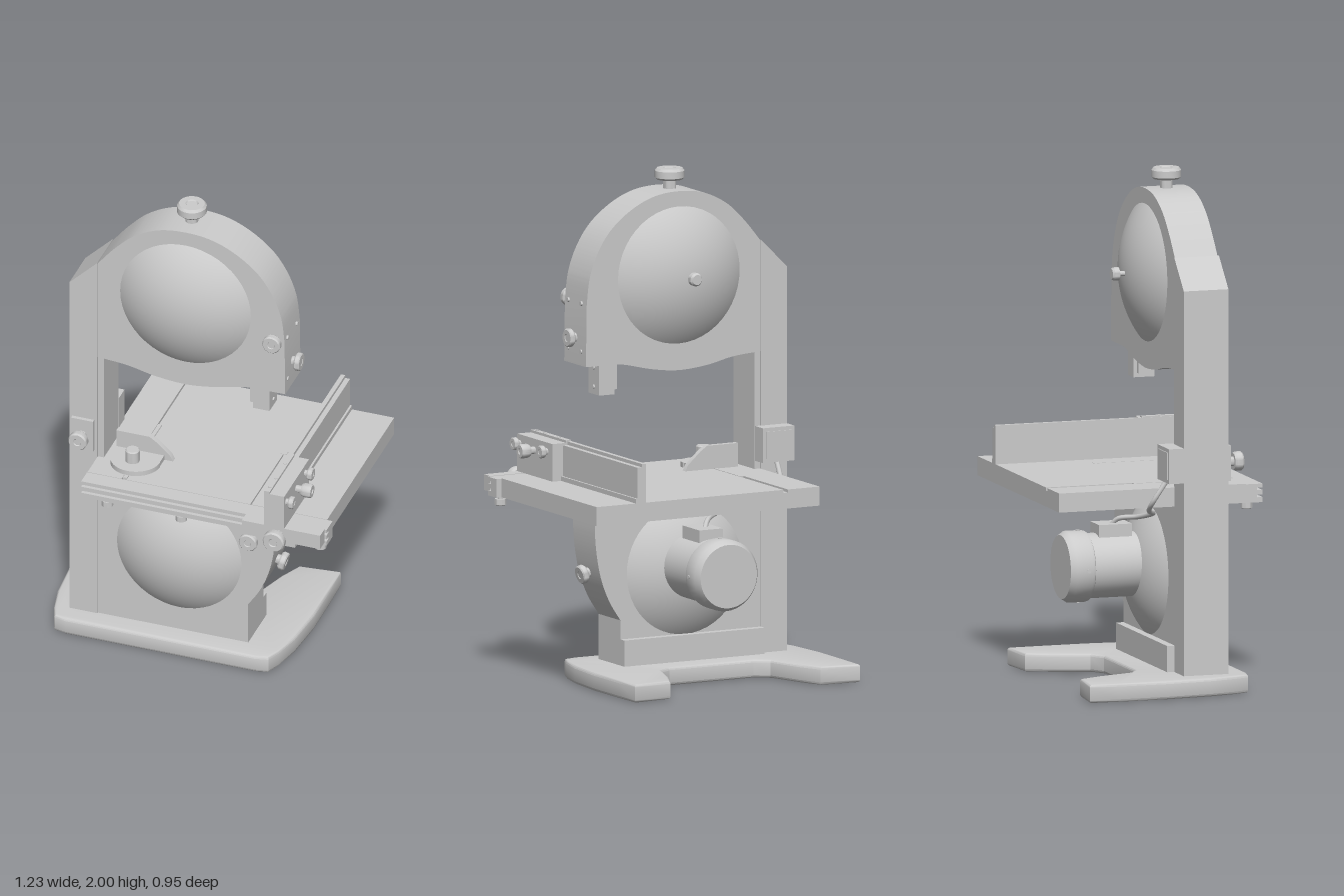
import * as THREE from 'three';
import { toCreasedNormals } from 'three/addons/utils/BufferGeometryUtils.js';

const V = (x, y, z) => new THREE.Vector3(x, y, z);
const material = new THREE.MeshStandardMaterial({ color: 0xcccccc });

export function createModel() {
  const model = new THREE.Group();

  const add = (name, geometry, x = 0, y = 0, z = 0) => {
    const mesh = new THREE.Mesh(geometry, material);
    mesh.name = name;
    mesh.position.set(x, y, z);
    model.add(mesh);
    return mesh;
  };

  // box given by its limits on each axis
  const box = (name, x0, x1, y0, y1, z0, z1) =>
    add(name, new THREE.BoxGeometry(x1 - x0, y1 - y0, z1 - z0), (x0 + x1) / 2, (y0 + y1) / 2, (z0 + z1) / 2);

  // outline in x-y pushed from z0 to z1
  const slab = (name, shape, z0, z1) => {
    const g = new THREE.ExtrudeGeometry(shape, { depth: z1 - z0, bevelEnabled: false, curveSegments: 14 });
    return add(name, toCreasedNormals(g, 0.5), 0, 0, z0);
  };

  // turned part: [radius, distance] profile along a direction
  const turned = (name, profile, at, dir, sides = 24) => {
    const g = new THREE.LatheGeometry(profile.map(p => new THREE.Vector2(...p)), sides);
    const mesh = add(name, toCreasedNormals(g, 0.6), ...at);
    mesh.quaternion.setFromUnitVectors(V(0, 1, 0), V(...dir).normalize());
    return mesh;
  };

  const knob = (name, at, dir, r, len) => turned(name, [
    [0, 0], [r * 0.5, 0], [r * 0.5, len * 0.4], [r * 0.85, len * 0.4], [r, len * 0.55],
    [r, len * 0.9], [r * 0.88, len], [r * 0.42, len], [r * 0.36, len * 0.94], [0, len * 0.94],
  ], at, dir);

  const bolt = (name, at, dir, r = 0.01, len = 0.006) =>
    turned(name, [[0, -0.004], [r, -0.004], [r, len], [0, len]], at, dir, 12);

  // shallow spherical cover
  const dome = (name, x, y, z, side, r, h) => {
    const R = (r * r + h * h) / (2 * h);
    const g = new THREE.SphereGeometry(R, 48, 12, 0, Math.PI * 2, 0, Math.asin(r / R));
    g.translate(0, h - R, 0).rotateX(side * Math.PI / 2);
    return add(name, g, x, y, z);
  };

  // base plate with two splayed rear feet, mirrored about x = -0.11
  const half = [[-0.5, 0.25], [-0.545, 0.24], [-0.565, 0.19], [-0.59, 0.08], [-0.605, -0.1], [-0.603, -0.3],
    [-0.6, -0.41], [-0.45, -0.395], [-0.41, -0.31], [-0.36, -0.16], [-0.3, -0.12]];
  const outline = [...half, ...half.map(([x, z]) => [-0.22 - x, z]).reverse()]
    .map(([x, z]) => new THREE.Vector2(x, -z));
  const baseGeo = new THREE.ExtrudeGeometry(new THREE.Shape(outline),
    { depth: 0.05, bevelThickness: 0.011, bevelSize: 0.01, bevelSegments: 3 });
  baseGeo.rotateX(-Math.PI / 2);
  add('base', toCreasedNormals(baseGeo, 0.6), 0, 0.011, 0);

  // column with sloped top
  const column = new THREE.Shape([[-0.515, 0.07], [-0.4, 0.07], [-0.4, 1.7], [-0.515, 1.585]].map(p => new THREE.Vector2(...p)));
  slab('column', column, -0.003, 0.18);
  box('columnInnerStrip', -0.402, -0.375, 0.7, 1.27, 0.005, 0.172);

  // upper wheel housing
  const upper = new THREE.Shape();
  upper.moveTo(-0.4, 1.26);
  upper.splineThru([[-0.28, 1.25], [-0.16, 1.225], [-0.037, 1.215], [0.08, 1.228], [0.2, 1.255], [0.25, 1.26]].map(p => new THREE.Vector2(...p)));
  upper.lineTo(0.375, 1.26);
  upper.lineTo(0.372, 1.5);
  upper.splineThru([[0.358, 1.61], [0.32, 1.71], [0.26, 1.795], [0.17, 1.865], [0.07, 1.908], [-0.04, 1.92],
    [-0.15, 1.905], [-0.25, 1.855], [-0.33, 1.78], [-0.4, 1.695]].map(p => new THREE.Vector2(...p)));
  upper.closePath();
  slab('upperHousing', upper, 0, 0.175);
  dome('upperFrontCover', -0.037, 1.59, 0.175, 1, 0.27, 0.09);
  dome('upperBackCover', -0.037, 1.59, 0, -1, 0.27, 0.087);

  // lower wheel housing
  const lower = new THREE.Shape();
  lower.moveTo(-0.4, 0.07);
  lower.lineTo(0.222, 0.07);
  lower.lineTo(0.222, 0.25);
  lower.splineThru([[0.27, 0.325], [0.305, 0.41], [0.325, 0.5], [0.335, 0.6], [0.335, 0.725]].map(p => new THREE.Vector2(...p)));
  lower.lineTo(-0.4, 0.725);
  lower.closePath();
  slab('lowerHousing', lower, 0, 0.175);
  box('rearPlinth', -0.4, 0.222, 0.07, 0.175, -0.032, 0.001);
  dome('lowerFrontCover', -0.063, 0.43, 0.175, 1, 0.257, 0.088);
  dome('lowerBackCover', -0.063, 0.43, 0, -1, 0.257, 0.085);

  // motor, terminal box and cable
  turned('motor', [[0, 0], [0.127, 0], [0.127, 0.21], [0.137, 0.215], [0.14, 0.225], [0.14, 0.29], [0.125, 0.313], [0, 0.313]],
    [-0.063, 0.452, -0.042], [0, 0, -1], 40);
  for (let i = 0; i < 4; i++) {
    const a = i * Math.PI / 2;
    bolt('motorScrew', [-0.063 + 0.14 * Math.cos(a), 0.452 + 0.14 * Math.sin(a), -0.285], [Math.cos(a), Math.sin(a), 0], 0.008, 0.003);
  }
  box('terminalBox', -0.115, -0.01, 0.56, 0.617, -0.215, -0.08);
  const cable = new THREE.CatmullRomCurve3([V(-0.07, 0.61, -0.15), V(-0.09, 0.635, -0.13), V(-0.16, 0.65, -0.07),
    V(-0.28, 0.68, -0.05), V(-0.38, 0.71, -0.1), V(-0.43, 0.75, -0.1), V(-0.445, 0.84, -0.045)]);
  add('cable', new THREE.TubeGeometry(cable, 40, 0.01, 8));

  // switch on the column
  box('switchBox', -0.515, -0.375, 0.83, 0.967, -0.063, 0);
  box('switchBoxLid', -0.5, -0.39, 0.845, 0.952, -0.067, -0.06);
  box('switchPlate', -0.503, -0.412, 0.828, 0.968, 0.175, 0.195);
  knob('switchKnob', [-0.457, 0.898, 0.194], [0, 0, 1], 0.038, 0.06);

  // table split around the mitre groove, with blade slot pieces
  box('tableCore', -0.4, 0.59, 0.722, 0.785, -0.475, 0.29);
  box('tableTopLeft', -0.4, -0.259, 0.785, 0.797, -0.475, 0.29);
  box('tableTopMiddle', -0.239, 0.272, 0.785, 0.797, -0.475, 0.29);
  box('tableTopRight', 0.277, 0.59, 0.785, 0.797, -0.475, 0.29);
  box('bladeSlotRear', 0.271, 0.278, 0.785, 0.797, -0.475, -0.1);
  box('bladeSlotStop', 0.262, 0.286, 0.79, 0.7985, -0.108, -0.085);

  // grooved front rail
  box('railBack', -0.402, 0.612, 0.722, 0.795, 0.29, 0.335);
  for (const [y0, y1] of [[0.722, 0.742], [0.752, 0.77], [0.78, 0.795]])
    box('railRib', -0.402, 0.612, y0, y1, 0.33, 0.358);
  for (const x of [-0.305, 0, 0.575]) {
    turned('railBolt', [[0, 0], [0.012, 0], [0.012, 0.012], [0.023, 0.012], [0.023, 0.035], [0.018, 0.038], [0, 0.038]], [x, 0.723, 0.325], [0, -1, 0]);
  }

  // rip fence with carriage
  box('fence', 0.37, 0.408, 0.797, 0.937, -0.475, 0.29);
  box('fenceTopLip', 0.37, 0.388, 0.935, 0.95, -0.475, 0.29);
  box('fenceFoot', 0.405, 0.416, 0.797, 0.815, -0.475, 0.13);
  box('fenceHead', 0.372, 0.455, 0.797, 0.945, 0.125, 0.408);
  box('fenceHeadLip', 0.372, 0.395, 0.94, 0.955, 0.125, 0.408);
  box('carriageBar', 0.28, 0.603, 0.735, 0.797, 0.357, 0.408);
  box('carriageFoot', 0.37, 0.5, 0.718, 0.74, 0.3, 0.408);
  knob('fenceKnob', [0.453, 0.91, 0.17], [1, 0, 0], 0.025, 0.036);
  knob('fenceKnob', [0.453, 0.9, 0.27], [1, 0, 0], 0.028, 0.068);
  knob('fenceKnob', [0.453, 0.91, 0.386], [1, 0, 0], 0.025, 0.036);
  knob('carriageKnob', [0.43, 0.763, 0.405], [0, 0, 1], 0.044, 0.065);
  for (const z of [0.2, 0.31, 0.375]) bolt('fenceBolt', [0.384, 0.955, z], [0, 1, 0], 0.007, 0.003);

  // mitre gauge
  box('mitreBar', -0.257, -0.241, 0.785, 0.798, -0.12, 0.28);
  add('mitreDisc', new THREE.CylinderGeometry(0.1, 0.1, 0.02, 32, 1, false, -Math.PI / 2, Math.PI), -0.247, 0.807, 0.16);
  box('mitreDiscRear', -0.345, -0.149, 0.797, 0.817, 0.1, 0.161);
  const gauge = new THREE.Shape([[-0.347, 0.797], [-0.113, 0.797], [-0.125, 0.82], [-0.18, 0.87], [-0.21, 0.89], [-0.347, 0.89]].map(p => new THREE.Vector2(...p)));
  slab('mitreFence', gauge, 0.085, 0.108);
  turned('mitreKnob', [[0, 0], [0.015, 0], [0.015, 0.008], [0.028, 0.008], [0.028, 0.055], [0.024, 0.06], [0, 0.06]], [-0.25, 0.815, 0.19], [0, 1, 0]);

  // blade guide below the upper housing
  box('bladeGuide', 0.225, 0.293, 1.135, 1.27, 0.042, 0.128);
  box('bladeGuideSide', 0.207, 0.23, 1.152, 1.27, 0.055, 0.115);
  for (const y of [1.165, 1.24]) bolt('guideBolt', [0.293, y, 0.085], [1, 0, 0], 0.008);

  // housing knobs and side bolts
  turned('tensionKnob', [[0, 0], [0.025, 0], [0.025, 0.035], [0.05, 0.037], [0.058, 0.045], [0.058, 0.072],
    [0.05, 0.082], [0.025, 0.082], [0.022, 0.078], [0, 0.078]], [-0.043, 1.918, 0.085], [0, 1, 0], 32);
  knob('upperFrontKnob', [0.332, 1.505, 0.172], [0, 0, 1], 0.037, 0.05);
  knob('upperSideKnob', [0.372, 1.365, 0.09], [1, 0, 0], 0.036, 0.04);
  turned('trackingKnob', [[0, 0], [0.01, 0], [0.01, 0.03], [0.026, 0.03], [0.026, 0.05], [0.02, 0.058], [0, 0.058]],
    [-0.042, 1.59, -0.082], [0, 0, -1]);
  knob('lowerFrontKnob', [0.235, 0.563, 0.172], [0, 0, 1], 0.037, 0.05);
  knob('lowerSideKnob', [0.308, 0.435, 0.095], [1, -0.25, 0], 0.037, 0.045);
  for (const y of [1.315, 1.505])
    for (const z of [0.04, 0.145]) bolt('sideBolt', [0.373, y, z], [1, 0, 0], 0.009);

  return model;
}
